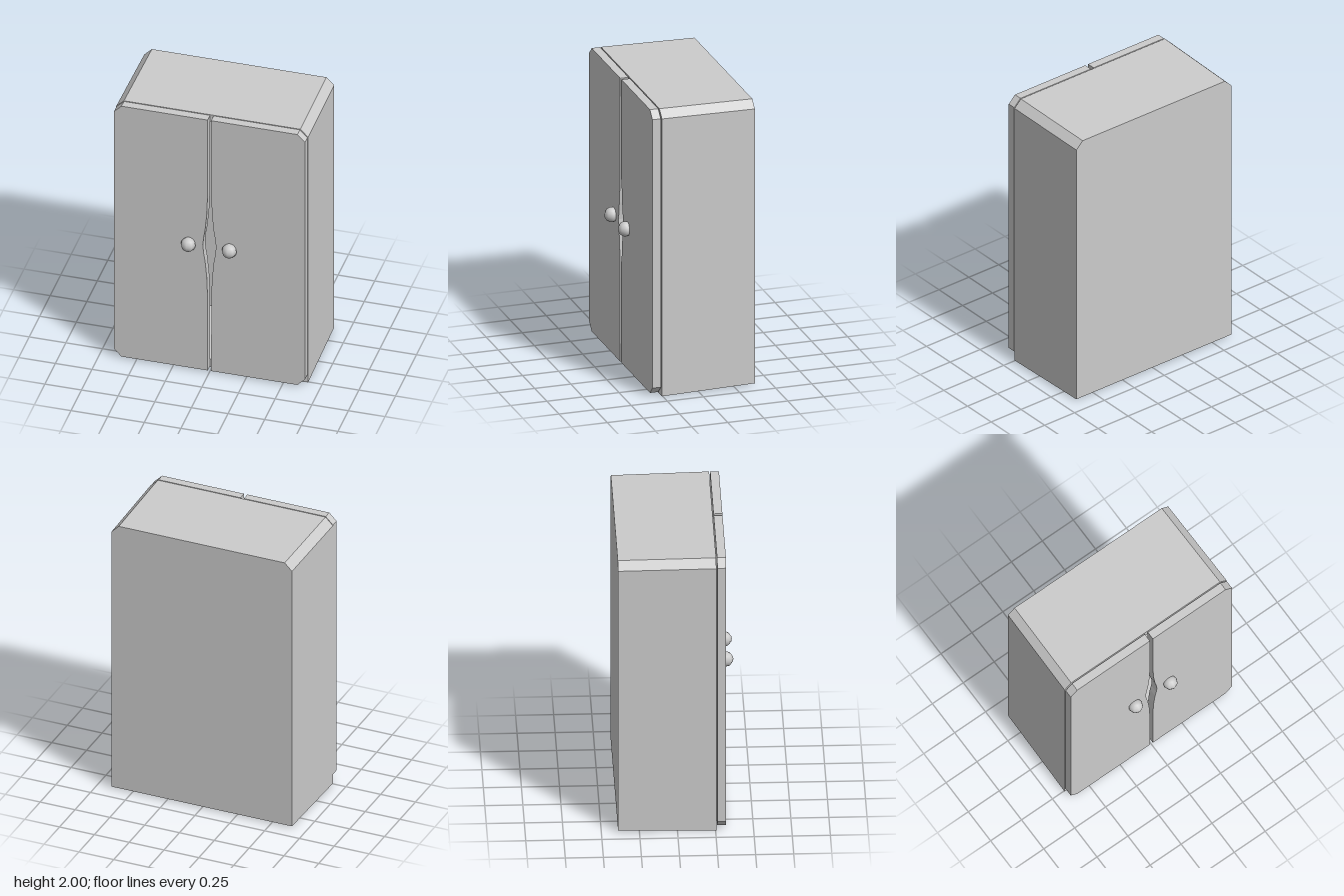
import * as THREE from 'three';

const BACK = -0.39, FRONT = 0.255;

const polygon = (points) => new THREE.Shape(points.map(([x, y]) => new THREE.Vector2(x, y)));

// Cabinet outline with chamfered top corners, inset by the wall thickness
function outline(inset) {
  const w = 0.655 - inset, t = 2 - inset, c = 0.053 - inset * 0.6;
  return [[-w, inset], [w, inset], [w, t - c], [w - c, t], [-w + c, t], [-w, t - c]];
}

// Extrude from z0 to z1, shrinking slightly toward the back
function taperedExtrude(shape, z0, z1) {
  const geo = new THREE.ExtrudeGeometry(shape, { depth: z1 - z0, bevelEnabled: false });
  geo.translate(0, 0, z0);
  const p = geo.attributes.position;
  for (let i = 0; i < p.count; i++) {
    const k = 1 - 0.011 * (FRONT - p.getZ(i)) / (FRONT - BACK);
    p.setXY(i, p.getX(i) * k, 1 + (p.getY(i) - 1) * k);
  }
  geo.computeVertexNormals();
  return geo;
}

export function createModel() {
  const group = new THREE.Group();
  const material = new THREE.MeshStandardMaterial({ color: 0xcccccc });
  const add = (name, geo, parent = group) => {
    const mesh = new THREE.Mesh(geo, material);
    mesh.name = name;
    parent.add(mesh);
    return mesh;
  };

  // Hollow carcass and its back panel
  const carcass = polygon(outline(0));
  carcass.holes.push(polygon(outline(0.055)));
  add('carcass', taperedExtrude(carcass, BACK, FRONT));
  add('backPanel', taperedExtrude(polygon(outline(0.05)), BACK, BACK + 0.05));

  // Inner door edge: narrow gap widening between the knobs
  const half = [[0.013, 1.4], [0.018, 1.25], [0.03, 1.12], [0.04, 1.06]];
  const innerEdge = [[0.012, 2], ...half, [0.045, 1],
    ...half.map(([x, y]) => [x, 2 - y]).reverse(), [0.012, 0.012]];

  for (const side of [1, -1]) {
    const door = new THREE.Group();
    door.name = side > 0 ? 'leftDoor' : 'rightDoor';
    group.add(door);

    // Door panel with chamfered outer corners
    const points = [...innerEdge, [0.6, 0.012], [0.652, 0.064], [0.652, 1.948], [0.6, 2]];
    const panel = new THREE.ExtrudeGeometry(
      polygon(points.map(([x, y]) => [x * side, y])), { depth: 0.058, bevelEnabled: false });
    add('doorPanel', panel, door).position.z = 0.262;

    // Round knob
    add('knob', new THREE.SphereGeometry(0.05, 8, 8), door).position.set(0.14 * side, 1, 0.337);
  }
  return group;
}
